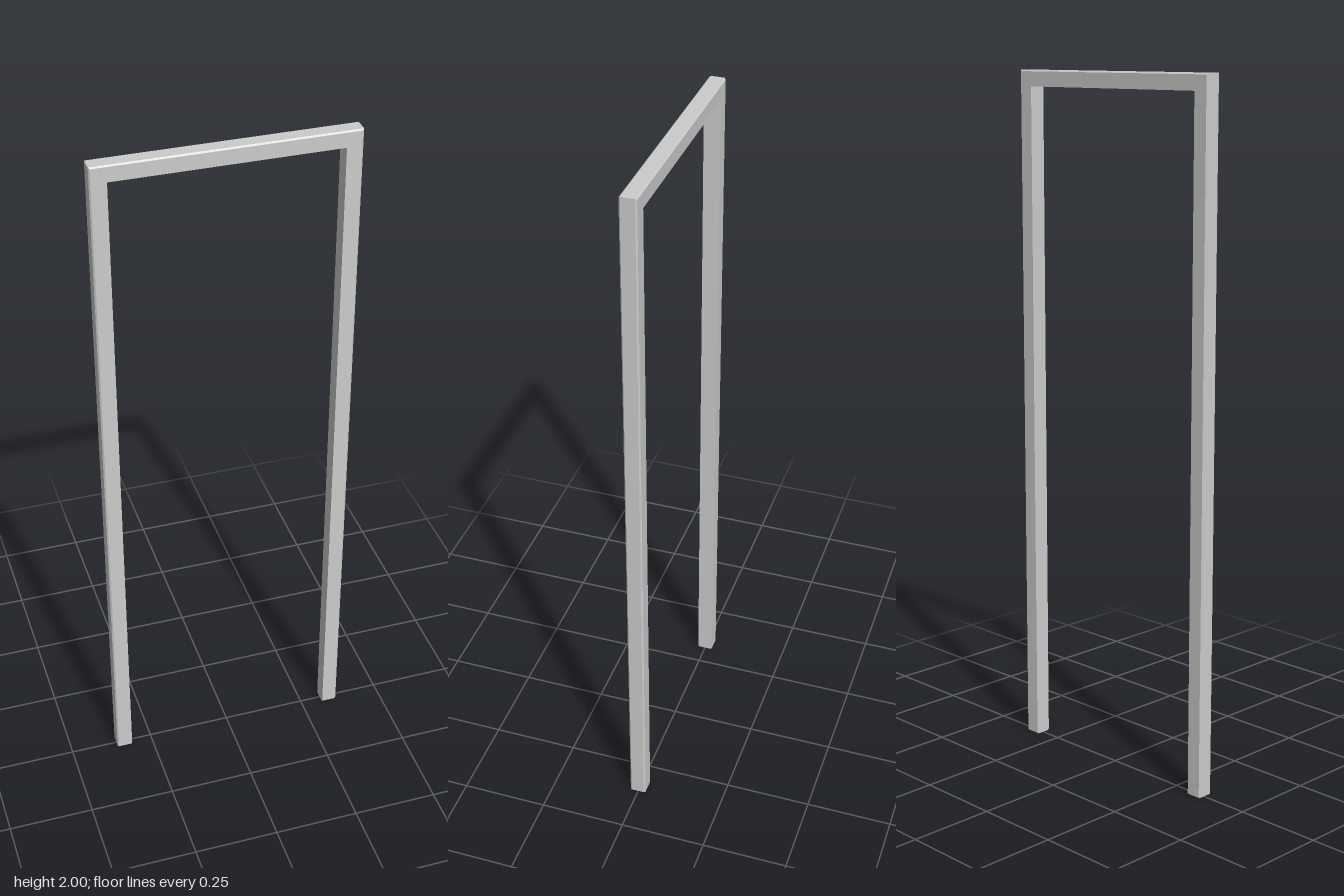
import * as THREE from 'three';

const W = 0.046;  // width of the bar
const H = 0.0235; // half depth of the bar
const C = 0.004;  // chamfer on the outer edges
const X = 0.315;  // half width of the opening
const TOP = 2 - W;

// Bar cross-section as [distance outward from the opening, z]
const section = [[0, -H], [0, H], [W - C, H], [W, H - C], [W, C - H], [W - C, -H]];
// Smaller section that closes the chamfered foot
const footSection = section.map(([d, z]) => [Math.min(d, W - C), Math.max(C - H, Math.min(H - C, z))]);

// One ring of points at (x, y), spread outward along (dx, dy)
const ring = (x, y, dx, dy, profile) =>
  profile.map(([d, z]) => new THREE.Vector3(x + dx * d, y + dy * d, z));

function sweep(rings) {
  const pos = [];
  const tri = (a, b, c) => {
    if (new THREE.Triangle(a, b, c).getArea() > 1e-9) {
      for (const p of [a, b, c]) pos.push(p.x, p.y, p.z);
    }
  };
  const n = section.length;
  for (let r = 0; r < rings.length - 1; r++) {
    for (let i = 0; i < n; i++) {
      const j = (i + 1) % n;
      const [p, q] = [rings[r], rings[r + 1]];
      tri(p[i], q[i], q[j]);
      tri(p[i], q[j], p[j]);
    }
  }
  // Feet caps
  const first = rings[0];
  const last = rings[rings.length - 1];
  for (let i = 1; i < n - 1; i++) {
    tri(first[0], first[i], first[i + 1]);
    tri(last[0], last[i + 1], last[i]);
  }
  const geo = new THREE.BufferGeometry();
  geo.setAttribute('position', new THREE.Float32BufferAttribute(pos, 3));
  geo.computeVertexNormals();
  return geo;
}

export function createModel() {
  const group = new THREE.Group();
  group.name = 'doorFrame';

  // Up one post, across the mitred head, and down the other post
  const half = (s) => [
    ring(s * X, 0, s, 0, footSection),
    ring(s * X, C, s, 0, section),
    ring(s * X, TOP, s, 1, section),
  ];
  const frame = new THREE.Mesh(
    sweep([...half(-1), ...half(1).reverse()]),
    new THREE.MeshStandardMaterial({ color: 0xcccccc, flatShading: true }),
  );
  frame.name = 'postsAndHead';
  group.add(frame);
  return group;
}
